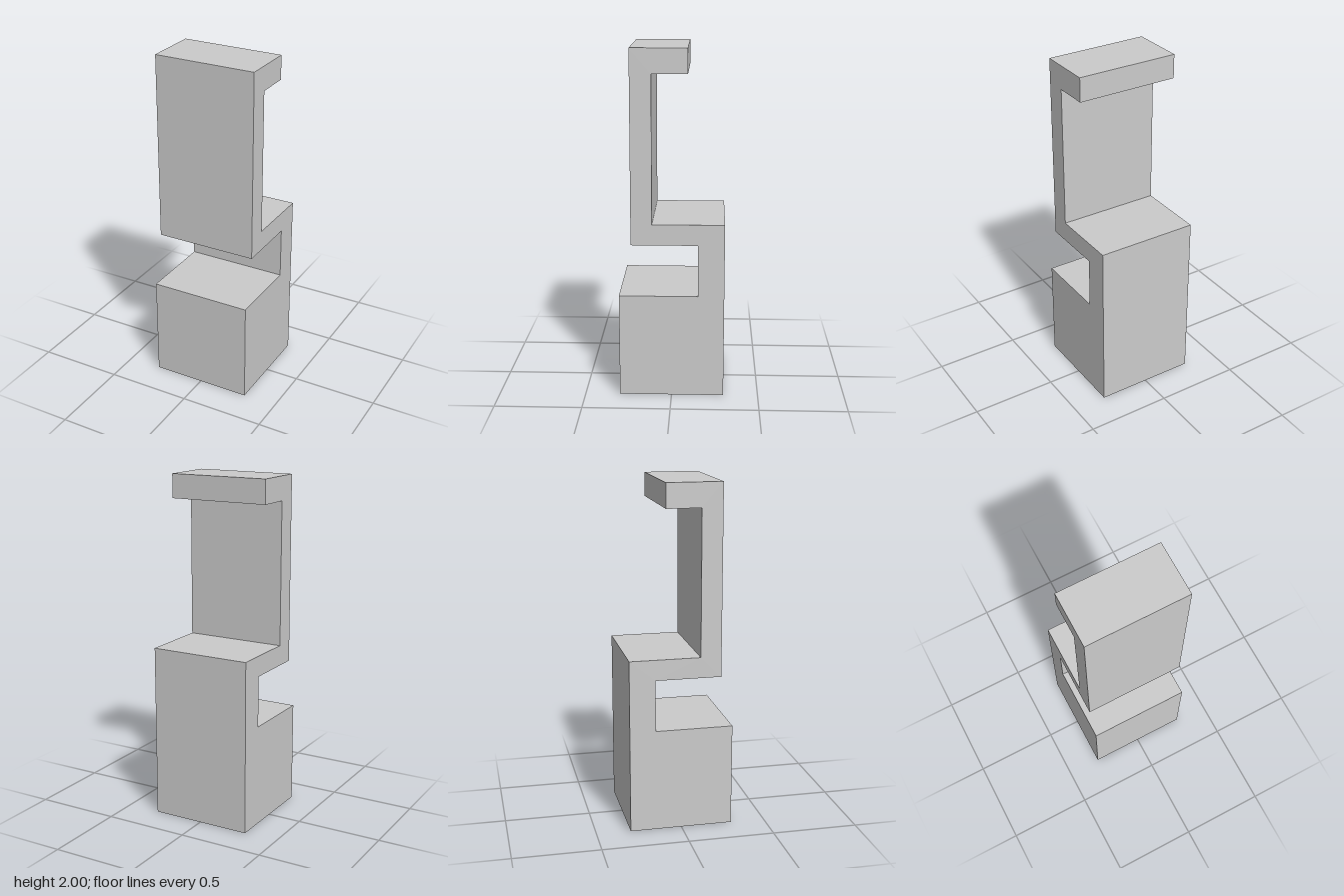
import * as THREE from 'three';

const WIDTH = 0.6;

export function createModel() {
  const group = new THREE.Group();
  group.name = 'steppedStand';

  // Side profile as (z, y) corners: block base, rear riser, shelf, front panel, top lip
  const profile = [
    [-0.3, 0], [0.3, 0], [0.3, 0.6], [-0.15, 0.6], [-0.15, 0.9], [0.23, 0.9],
    [0.23, 2], [-0.09, 2], [-0.09, 1.86], [0.11, 1.86], [0.11, 1.02], [-0.3, 1.02],
  ].map(([z, y]) => new THREE.Vector2(z, y));

  // Extrude across the width, then turn so the profile's first axis lies along z
  const geometry = new THREE.ExtrudeGeometry(new THREE.Shape(profile), {
    depth: WIDTH,
    bevelEnabled: false,
  });
  geometry.translate(0, 0, -WIDTH / 2);
  geometry.rotateY(-Math.PI / 2);

  const body = new THREE.Mesh(
    geometry,
    new THREE.MeshStandardMaterial({ color: 0xcccccc, flatShading: true })
  );
  body.name = 'standBody';
  group.add(body);
  return group;
}
